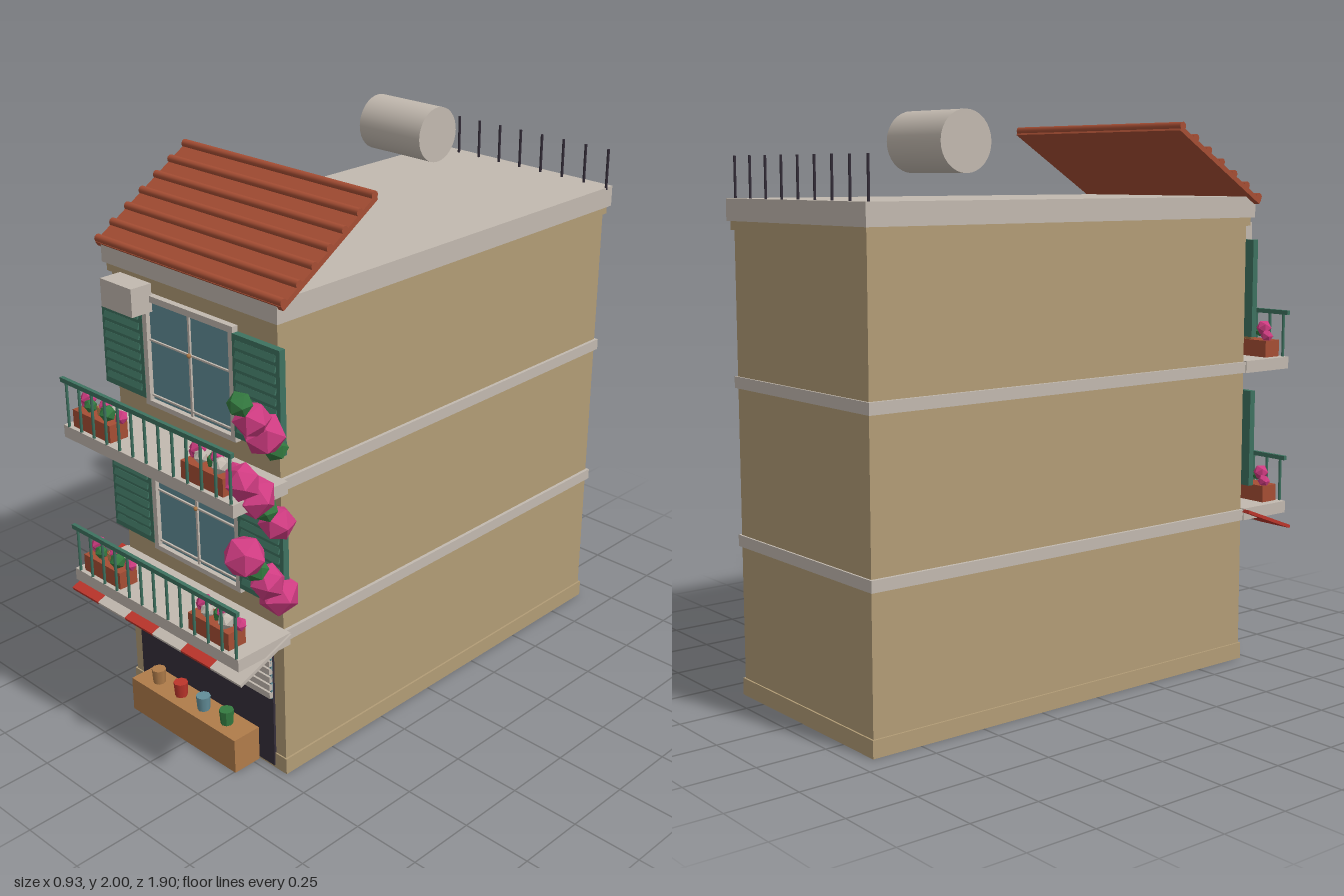
import * as THREE from 'three';

const mat = (name, color, flatShading = false) => {
  const m = new THREE.MeshStandardMaterial({ color, flatShading });
  m.name = name;
  return m;
};

export function createModel() {
  const stucco = mat('stucco', 0xb29c76);
  const stone = mat('stone', 0xc2b9af);
  const green = mat('paintedGreen', 0x3e7260);
  const glass = mat('glassBlue', 0x628d98);
  const clay = mat('terracotta', 0xa64e34);
  const petal = mat('petalPink', 0xd03c82, true);
  const leaf = mat('leafGreen', 0x347a40, true);
  const dark = mat('darkInterior', 0x352e3a);
  const wood = mat('wood', 0xb07c4a);
  const red = mat('awningRed', 0xbc352b);

  const house = new THREE.Group();
  house.name = 'townhouse';

  const add = (name, geo, material, x, y, z, parent = house) => {
    const m = new THREE.Mesh(geo, material);
    m.name = name;
    m.position.set(x, y, z);
    parent.add(m);
    return m;
  };
  // Box given by its limits on each axis
  const box = (name, material, x0, x1, y0, y1, z0, z1, parent = house) =>
    add(name, new THREE.BoxGeometry(x1 - x0, y1 - y0, z1 - z0), material,
      (x0 + x1) / 2, (y0 + y1) / 2, (z0 + z1) / 2, parent);
  const group = (name, parent = house) => {
    const g = new THREE.Group();
    g.name = name;
    parent.add(g);
    return g;
  };

  // Walls, plinth, floor bands and cornice
  box('walls', stucco, -0.413, 0.38, 0, 1.66, -0.928, 0.715);
  box('plinth', stucco, -0.42, 0.387, 0, 0.06, -0.934, 0.72);
  for (const y of [0.53, 1.08]) box('floorBand', stone, -0.425, 0.392, y, y + 0.04, -0.935, 0.725);
  box('corniceMoulding', stucco, -0.424, 0.391, 1.615, 1.645, -0.936, 0.727);
  box('cornice', stone, -0.436, 0.403, 1.645, 1.72, -0.945, 0.737);

  // Sloping tiled canopy with raised tile rows
  const roof = group('tiledRoof');
  roof.position.set(-0.018, 1.828, 0.533);
  roof.rotation.x = 0.562;
  box('roofSlab', clay, -0.443, 0.443, -0.009, 0.009, -0.239, 0.239, roof);
  for (let i = 0; i < 7; i++) {
    const rib = add('tileRow', new THREE.CylinderGeometry(0.014, 0.014, 0.886, 10), clay,
      0, 0.012, 0.224 - i * 0.0765, roof);
    rib.rotation.z = Math.PI / 2;
  }

  // Water tank and rear rods
  add('waterTank', new THREE.CylinderGeometry(0.1, 0.1, 0.293, 32), stone, -0.218, 1.903, -0.517)
    .rotation.z = Math.PI / 2;
  for (let i = 0; i < 9; i++) {
    add('roofRod', new THREE.CylinderGeometry(0.005, 0.005, 0.15, 6), dark, -0.4 + i * 0.1, 1.787, -0.91);
  }

  // One upper storey: window, shutters, balcony and planters
  const storey = (base) => {
    const g = group('upperStorey');
    g.position.y = base;
    // Window
    box('windowGlass', glass, -0.225, 0.187, 0.09, 0.455, 0.71, 0.722, g);
    for (const x of [-0.24, 0.18]) box('frameSide', stone, x, x + 0.022, 0.07, 0.46, 0.71, 0.738, g);
    box('frameHead', stone, -0.24, 0.202, 0.44, 0.462, 0.71, 0.738, g);
    box('frameSill', stone, -0.24, 0.202, 0.07, 0.088, 0.71, 0.738, g);
    box('mullion', stone, -0.023, -0.014, 0.088, 0.44, 0.72, 0.729, g);
    for (const y of [0.105, 0.302]) box('glazingBar', stone, -0.22, 0.182, y - 0.003, y + 0.003, 0.72, 0.729, g);
    add('windowKnob', new THREE.SphereGeometry(0.008, 8, 6), wood, -0.018, 0.302, 0.731, g);
    // Louvred shutters
    for (const x of [-0.345, 0.306]) {
      box('shutter', green, x - 0.106, x + 0.106, 0.09, 0.442, 0.715, 0.739, g);
      for (let i = 0; i < 9; i++) {
        const slat = box('shutterSlat', green, x - 0.09, x + 0.09, -0.011, 0.011, -0.003, 0.003, g);
        slat.position.set(x, 0.125 + i * 0.036, 0.741);
        slat.rotation.x = -0.35;
      }
    }
    // Balcony
    box('balconySlab', stone, -0.428, 0.413, -0.044, 0, 0.715, 0.944, g);
    box('handrail', green, -0.428, 0.413, 0.157, 0.173, 0.932, 0.946, g);
    for (let i = 0; i < 13; i++) {
      add('baluster', new THREE.CylinderGeometry(0.0055, 0.0055, 0.165, 6), green,
        -0.404 + i * 0.067, 0.08, 0.939, g);
    }
    // Planters filled with small blooms
    [-0.296, 0.254].forEach((x, k) => {
      box('planter', clay, x - 0.098, x + 0.098, 0, 0.062, 0.855, 0.928, g);
      const kinds = k ? [petal, petal, stone, leaf, petal, stone, petal] : [petal, petal, leaf, wood, petal, leaf, petal];
      kinds.forEach((m, i) => {
        const bloom = add('bloom', new THREE.IcosahedronGeometry(0.024 + 0.005 * (i % 2), 0),
          m === stone || m === wood ? m.clone() : m,
          x - 0.083 + i * 0.03, 0.078 + 0.014 * ((i * 2) % 3), 0.885 + 0.016 * (i % 3 - 0.5), g);
        bloom.material = m;
        bloom.rotation.y = i;
      });
    });
  };
  storey(0.573);
  storey(1.123);

  // Air conditioner
  box('airConditioner', stone, -0.355, -0.197, 1.528, 1.625, 0.727, 0.81);

  // Climbing flowers down the left edge
  const climber = group('climbingFlowers');
  for (let i = 0; i < 12; i++) {
    const ball = add(i % 3 ? 'blossomCluster' : 'leafCluster',
      new THREE.IcosahedronGeometry([0.042, 0.062, 0.073][i % 3], 0), i % 3 ? petal : leaf,
      0.392, 1.433 - i * 0.0645, 0.885 - (i % 4) * 0.047, climber);
    ball.rotation.y = i * 0.5;
  }

  // Striped awning
  const awning = group('awning');
  awning.position.set(-0.018, 0.522, 0.829);
  awning.rotation.x = 0.364;
  for (let i = 0; i < 6; i++) {
    const x = -0.438 + i * 0.146;
    box('awningStripe', i % 2 ? stone : red, x, x + 0.146, -0.006, 0.006, -0.122, 0.122, awning);
  }

  // Shop opening with half-raised roller shutter
  box('shopOpening', dark, -0.366, 0.332, 0.01, 0.475, 0.71, 0.724);
  box('rollerBacking', glass, -0.366, 0.332, 0.285, 0.47, 0.722, 0.731);
  for (let i = 0; i < 6; i++) {
    const y = 0.288 + i * 0.031;
    box('rollerSlat', stone, -0.366, 0.332, y, y + 0.023, 0.725, 0.739);
  }

  // Counter and goods
  box('counter', wood, -0.29, 0.256, 0, 0.13, 0.724, 0.836);
  [wood, red, glass, leaf].forEach((m, i) => {
    add('jar', new THREE.CylinderGeometry(0.026, 0.022, 0.055, 8), m, -0.202 + i * 0.12, 0.157, 0.782);
  });

  return house;
}
